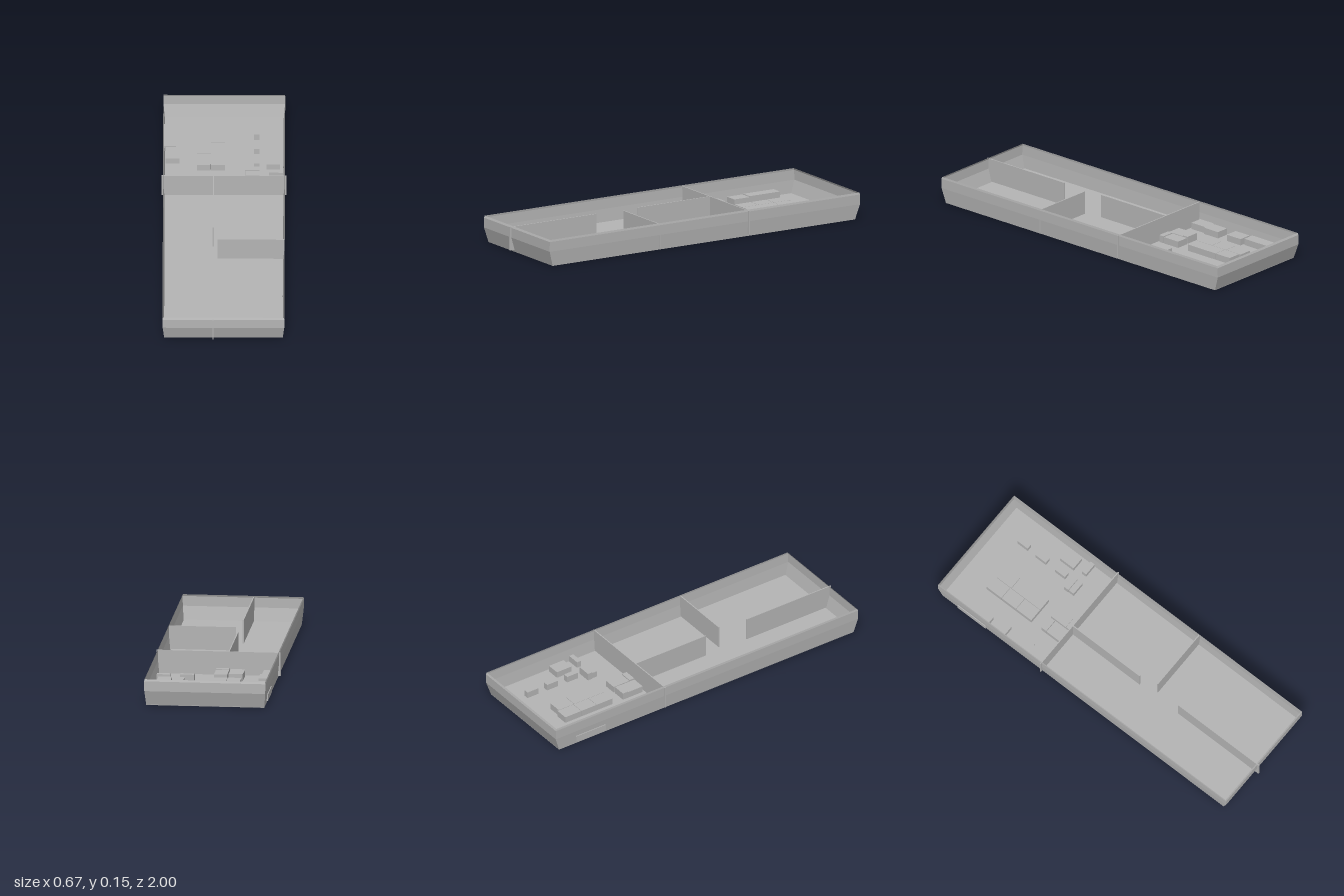
import * as THREE from 'three';

const FLOOR = 0.013;

export function createModel() {
  const model = new THREE.Group();
  const grey = new THREE.MeshStandardMaterial({ color: 0xb4b4b4, side: THREE.DoubleSide });
  grey.name = 'plain grey';

  function box(parent, name, x0, x1, y0, y1, z0, z1) {
    const mesh = new THREE.Mesh(new THREE.BoxGeometry(x1 - x0, y1 - y0, z1 - z0), grey);
    mesh.position.set((x0 + x1) / 2, (y0 + y1) / 2, (z0 + z1) / 2);
    mesh.name = name;
    parent.add(mesh);
  }

  // Flared outer walls: rectangular rings [y, half width, back z, front z]
  const rings = [
    [0, 0.32, -0.973, 0.966],
    [0.083, 0.328, -1, 0.99],
    [0.137, 0.329, -1, 0.99],
    [0.148, 0.327, -0.995, 0.985],
  ].map(([y, w, b, f]) => [[-w, y, f], [w, y, f], [w, y, b], [-w, y, b]]);
  const points = [];
  const quad = (a, b, c, d) => points.push(...a, ...b, ...c, ...a, ...c, ...d);
  for (let i = 0; i < rings.length - 1; i++) {
    for (let s = 0; s < 4; s++) {
      const t = (s + 1) % 4;
      quad(rings[i][s], rings[i][t], rings[i + 1][t], rings[i + 1][s]);
    }
  }
  // Underside
  const [p, q, r, s] = rings[0];
  quad(p, s, r, q);
  const shell = new THREE.BufferGeometry();
  shell.setAttribute('position', new THREE.Float32BufferAttribute(points, 3));
  shell.computeVertexNormals();
  const walls = new THREE.Mesh(shell, grey);
  walls.name = 'outerWalls';
  model.add(walls);

  // Inner floor
  box(model, 'floor', -0.319, 0.319, 0.002, FLOOR, -0.974, 0.964);

  // Partition walls: [x0, x1, z0, z1]
  const partitions = new THREE.Group();
  partitions.name = 'partitions';
  model.add(partitions);
  [
    [-0.337, 0.337, -0.288, -0.282],
    [-0.034, 0.328, 0.278, 0.284],
    [-0.06, -0.054, -0.285, 0.178],
    [-0.06, -0.054, 0.445, 1],
  ].forEach(([x0, x1, z0, z1]) => box(partitions, 'partition', x0, x1, FLOOR, 0.142, z0, z1));

  // Low furniture blocks: [x0, x1, z0, z1, height]
  const furniture = new THREE.Group();
  furniture.name = 'furniture';
  model.add(furniture);
  [
    // side row
    [-0.329, -0.26, -0.865, -0.67, 0.036],
    [-0.315, -0.242, -0.66, -0.56, 0.036],
    [-0.312, -0.238, -0.5, -0.4, 0.036],
    [-0.32, -0.248, -0.4, -0.3, 0.036],
    // central cluster
    [-0.147, -0.072, -0.81, -0.706, 0.036],
    [-0.147, -0.072, -0.704, -0.606, 0.036],
    [-0.147, -0.072, -0.604, -0.5, 0.036],
    [-0.07, 0.005, -0.8, -0.7, 0.036],
    [-0.07, 0.005, -0.698, -0.5, 0.036],
    // cluster beside the partition
    [-0.146, -0.07, -0.43, -0.398, 0.04],
    [-0.146, -0.068, -0.396, -0.3, 0.036],
    [-0.062, 0.01, -0.432, -0.33, 0.036],
    [-0.062, 0.01, -0.328, -0.297, 0.04],
    // small blocks
    [0.162, 0.19, -0.843, -0.772, 0.036],
    [0.16, 0.19, -0.715, -0.645, 0.036],
    [0.16, 0.19, -0.583, -0.513, 0.036],
    [0.112, 0.19, -0.48, -0.451, 0.042],
    [0.115, 0.19, -0.45, -0.417, 0.034],
    [0.228, 0.302, -0.603, -0.508, 0.036],
    [0.243, 0.317, -0.46, -0.433, 0.036],
  ].forEach(([x0, x1, z0, z1, h]) => box(furniture, 'furnitureBlock', x0, x1, FLOOR, FLOOR + h, z0, z1));

  return model;
}
